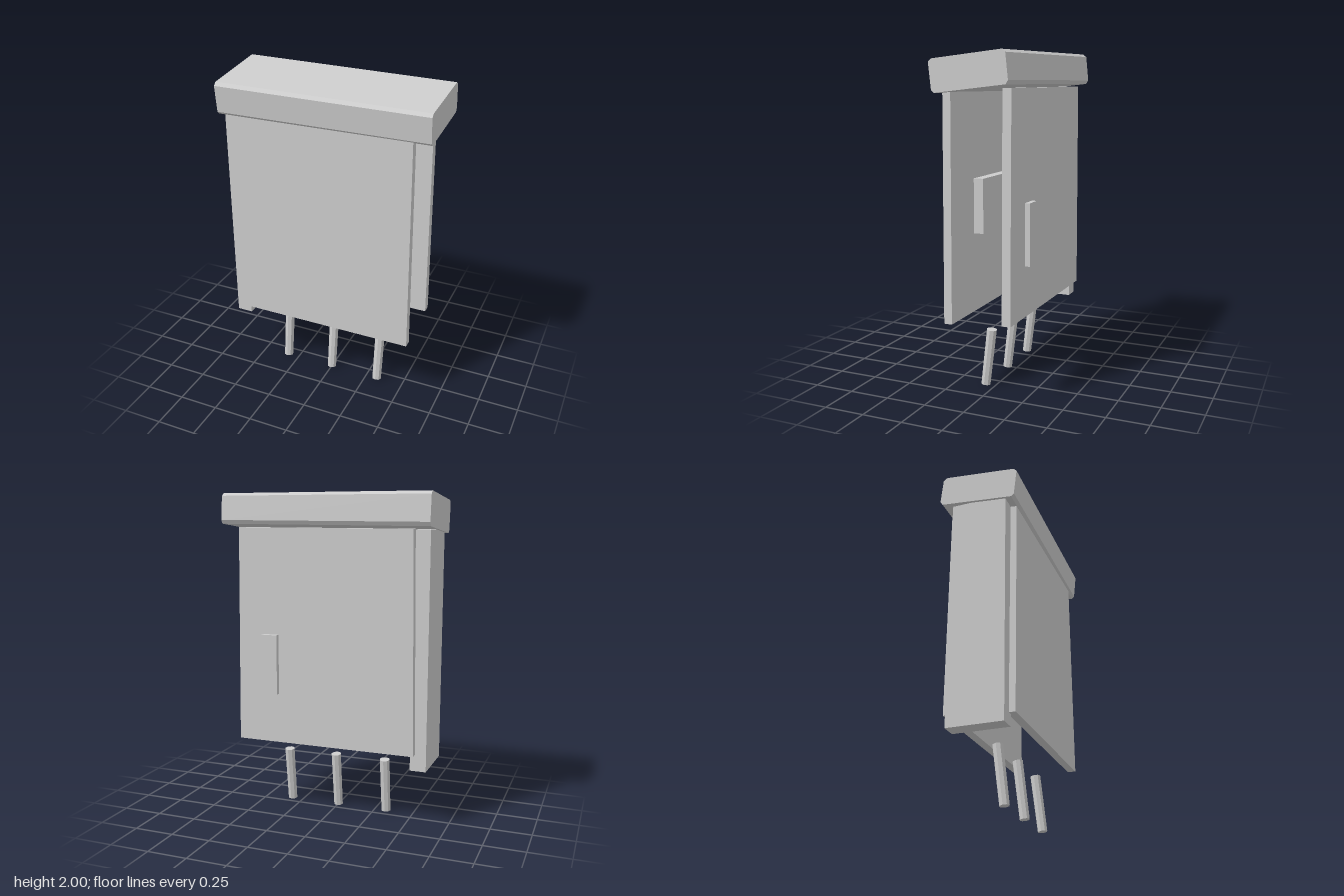
import * as THREE from 'three';

const grey = new THREE.MeshStandardMaterial({ color: 0xcccccc });
grey.name = 'light grey';

export function createModel() {
  const model = new THREE.Group();
  model.name = 'cabinet';

  const add = (name, geometry, x = 0, y = 0, z = 0) => {
    const flat = geometry.index ? geometry.toNonIndexed() : geometry;
    flat.computeVertexNormals();
    const mesh = new THREE.Mesh(flat, grey);
    mesh.name = name;
    mesh.position.set(x, y, z);
    model.add(mesh);
    return mesh;
  };

  // Box given by its limits on each axis
  const block = (name, [x0, x1], [y0, y1], [z0, z1]) =>
    add(name, new THREE.BoxGeometry(x1 - x0, y1 - y0, z1 - z0),
      (x0 + x1) / 2, (y0 + y1) / 2, (z0 + z1) / 2);

  // Upright panel, a little wider at the foot
  const panel = (name, y0, y1, z0, z1) => {
    const shape = new THREE.Shape([
      new THREE.Vector2(-0.567, y0), new THREE.Vector2(0.565, y0),
      new THREE.Vector2(0.545, y1), new THREE.Vector2(-0.547, y1),
    ]);
    add(name, new THREE.ExtrudeGeometry(shape, { depth: z1 - z0, bevelEnabled: false }), 0, 0, z0);
  };

  panel('frontPanel', 0.435, 1.77, 0.165, 0.215);
  panel('backPanel', 0.465, 1.79, -0.205, -0.152);
  block('sidePanel', [-0.635, -0.537], [0.365, 1.785], [-0.16, 0.177]);
  block('innerBlock', [-0.38, 0.375], [0.945, 1.27], [0.05, 0.11]);
  block('backHandle', [0.285, 0.39], [0.78, 1.147], [-0.25, -0.22]);

  // Tilted cap with chamfered long edges, as [z, y] corners
  const section = [
    [0.252, 1.933], [0.233, 1.952], [-0.2, 2.0], [-0.224, 1.983],
    [-0.24, 1.83], [-0.225, 1.806], [0.217, 1.756], [0.235, 1.772],
  ];
  const capShape = new THREE.Shape(section.map(([z, y]) => new THREE.Vector2(-z, y - 1.878)));
  const cap = new THREE.ExtrudeGeometry(capShape, { depth: 1.3, bevelEnabled: false });
  cap.rotateY(Math.PI / 2).translate(-0.65, 0, 0);
  // Narrow the cap slightly towards +x
  const p = cap.attributes.position;
  for (let i = 0; i < p.count; i++) {
    if (p.getX(i) > 0) {
      p.setY(i, p.getY(i) * 0.94);
      p.setZ(i, p.getZ(i) * 0.965);
    }
  }
  add('cap', cap, 0, 1.878, 0);

  // Three slanted legs
  for (const x of [-0.325, 0, 0.325]) {
    const leg = add('leg', new THREE.CylinderGeometry(0.032, 0.03, 0.352, 8), x, 0.179, 0.043);
    leg.rotation.x = -0.12;
  }

  return model;
}
